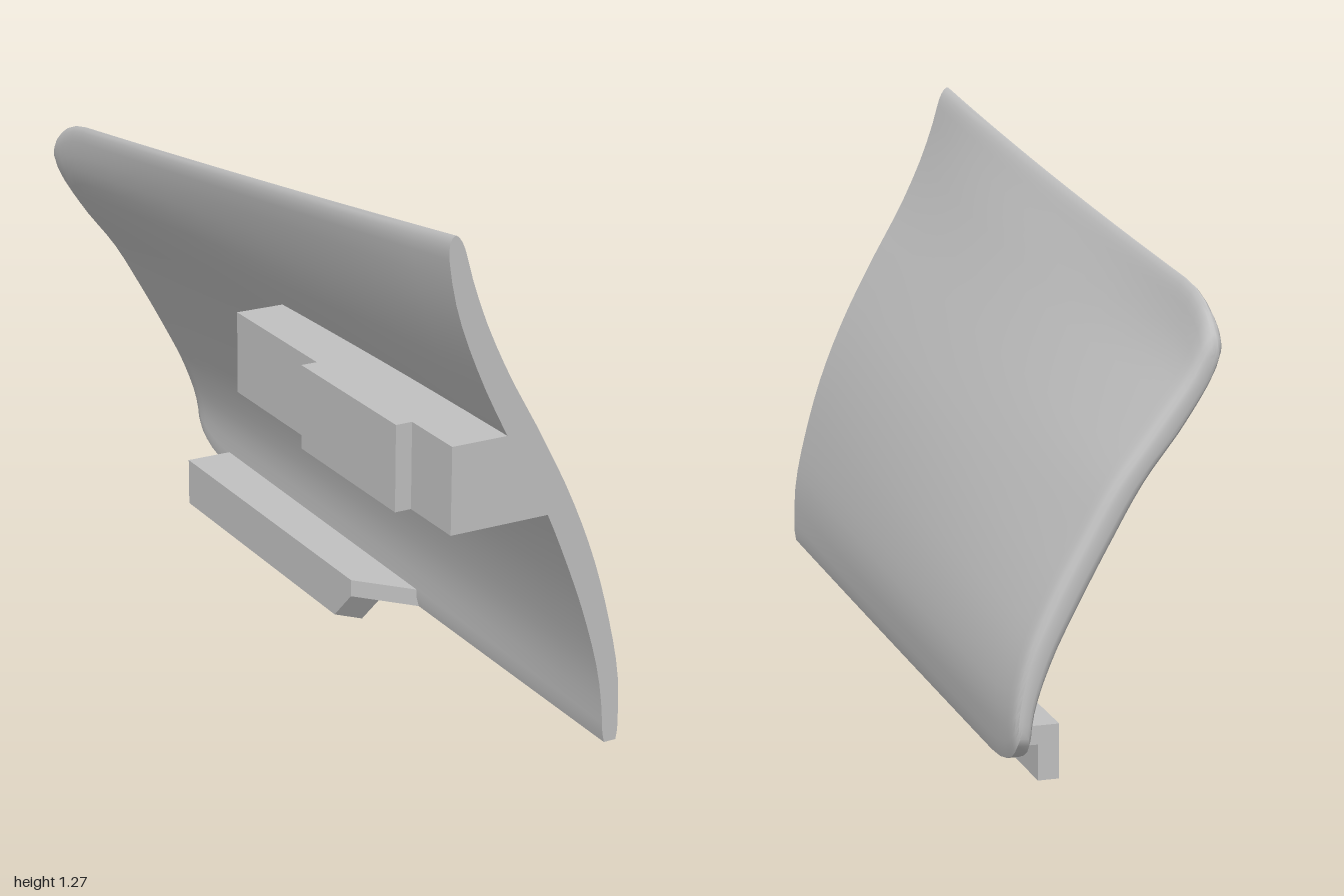
import * as THREE from 'three';
import { toCreasedNormals } from 'three/addons/utils/BufferGeometryUtils.js';

// Horizontal offsets of the panel skin at nine even heights, bottom to top
const spline = (xs) => new THREE.SplineCurve(xs.map((x, i) => new THREE.Vector2(i, x)));
const OUTER = [
  [0.222, 0.218, 0.187, 0.142, 0.08, 0.003, -0.08, -0.146, -0.187], // front end
  [0.228, 0.236, 0.213, 0.17, 0.113, 0.042, -0.035, -0.11, -0.178], // middle
  [0.23, 0.237, 0.215, 0.165, 0.1, 0.03, -0.06, -0.145, -0.182], // rear end
].map(spline);
const INNER = [
  [0.185, 0.17, 0.13, 0.075, 0.01, -0.072, -0.145, -0.2, -0.224],
  [0.19, 0.187, 0.155, 0.103, 0.037, -0.04, -0.118, -0.175, -0.208],
  [0.2, 0.195, 0.155, 0.095, 0.03, -0.04, -0.13, -0.197, -0.206],
].map(spline);

const BOTTOM = 0.08;
const topLine = (z) => 1.15 + 0.1175 * z + 0.0075 * z * z;

// Quadratic blend of the three sections along z
function skinX(sections, t, z) {
  const [f, m, r] = sections.map((c) => c.getPoint(t).y);
  return f * z * (z + 1) / 2 + m * (1 - z * z) + r * z * (z - 1) / 2;
}

// One closed cross-section: up the outer skin, down the inner skin
function panelRing(z, heights, rim) {
  const u = THREE.MathUtils.clamp((-0.8 - z) / 0.2, 0, 1);
  const corner = 0.1 * (1 - Math.sqrt(1 - u * u));
  const full = topLine(z), lo = BOTTOM + corner, hi = full - corner;
  const outer = [], inner = [];
  for (const s of heights) {
    const y = lo + (hi - lo) * s;
    const t = THREE.MathUtils.clamp((y - BOTTOM) / (full - BOTTOM), 0, 1);
    const a = skinX(OUTER, t, z), b = skinX(INNER, t, z);
    const e = THREE.MathUtils.clamp((s - 0.96) / 0.04, 0, 1);
    const round = s < 0.02 ? 0.8 + 10 * s : Math.max(0.12, Math.sqrt(1 - e * e));
    const mid = (a + b) / 2, half = (a - b) / 2 * round * rim;
    outer.push([mid + half, y, z]);
    inner.unshift([mid - half, y, z]);
  }
  return [...outer, ...inner];
}

function panelGeometry() {
  const heights = [0, 0.02];
  for (let i = 1; i <= 23; i++) heights.push(i * 0.04);
  heights.push(0.96, 0.975, 0.987, 0.996, 1);
  const n = heights.length * 2;

  // Stations: close together round the rear corners, even along the rest
  const rings = [[-1, 0.35], [-0.997, 0.65], [-0.988, 0.9]];
  for (const z of [-0.97, -0.945, -0.91, -0.86, -0.8]) rings.push([z, 1]);
  for (let i = 1; i <= 12; i++) rings.push([-0.8 + i * 0.15, 1]);

  const pos = [], idx = [];
  for (const [z, rim] of rings) pos.push(...panelRing(z, heights, rim).flat());
  for (let i = 0; i < rings.length - 1; i++) {
    for (let j = 0; j < n; j++) {
      const a = i * n + j, b = i * n + (j + 1) % n, c = b + n, d = a + n;
      idx.push(a, b, d, b, c, d);
    }
  }
  // End caps
  const last = (rings.length - 1) * n;
  for (let j = 0; j < n / 2 - 1; j++) {
    const a = j, b = j + 1, c = n - 2 - j, d = n - 1 - j;
    idx.push(last + a, last + b, last + c, last + a, last + c, last + d);
    idx.push(a, c, b, a, d, c);
  }
  const g = new THREE.BufferGeometry();
  g.setAttribute('position', new THREE.Float32BufferAttribute(pos, 3));
  g.setIndex(idx);
  return toCreasedNormals(g, 0.6);
}

// Prism from an xy outline between two z values; adjust may shift corners
function prism(outline, z0, z1, adjust) {
  const shape = new THREE.Shape(outline.map(([x, y]) => new THREE.Vector2(x, y)));
  const g = new THREE.ExtrudeGeometry(shape, { depth: z1 - z0, bevelEnabled: false });
  g.translate(0, 0, z0);
  if (adjust) {
    const p = g.attributes.position;
    for (let i = 0; i < p.count; i++) p.setZ(i, adjust(p.getX(i), p.getY(i), p.getZ(i)));
    g.computeVertexNormals();
  }
  return g;
}

export function createModel() {
  const group = new THREE.Group();
  const grey = new THREE.MeshStandardMaterial({ color: 0xc0c0c0 });
  grey.name = 'plain grey';
  const add = (name, geometry) => {
    const mesh = new THREE.Mesh(geometry, grey);
    mesh.name = name;
    group.add(mesh);
  };

  add('curvedPanel', panelGeometry());

  // Upper bracket on the inner face, with a raised pad
  add('upperBracket', prism(
    [[-0.205, 0.64], [0.045, 0.64], [-0.045, 0.833], [-0.205, 0.833]], 0.05, 1));
  add('upperBracketPad', prism(
    [[-0.243, 0.64], [-0.2, 0.64], [-0.2, 0.833], [-0.243, 0.833]], 0.43, 0.84));

  // Lower ledge: its front end slants back towards the inner side
  add('lowerLedge', prism(
    [[0.078, 0.08], [0.205, 0.08], [0.205, 0.122], [0.078, 0.122]], -0.8, 0.08,
    (x, y, z) => (z > 0 ? 0.08 + (x - 0.078) * 1.1 : z)));
  // Hanging lip: its front end slopes back towards the bottom
  add('lowerLip', prism(
    [[0.078, 0], [0.125, 0], [0.125, 0.08], [0.078, 0.08]], -0.8, 0.08,
    (x, y, z) => (z > 0 ? y + (x - 0.078) * 1.1 : z)));

  return group;
}
